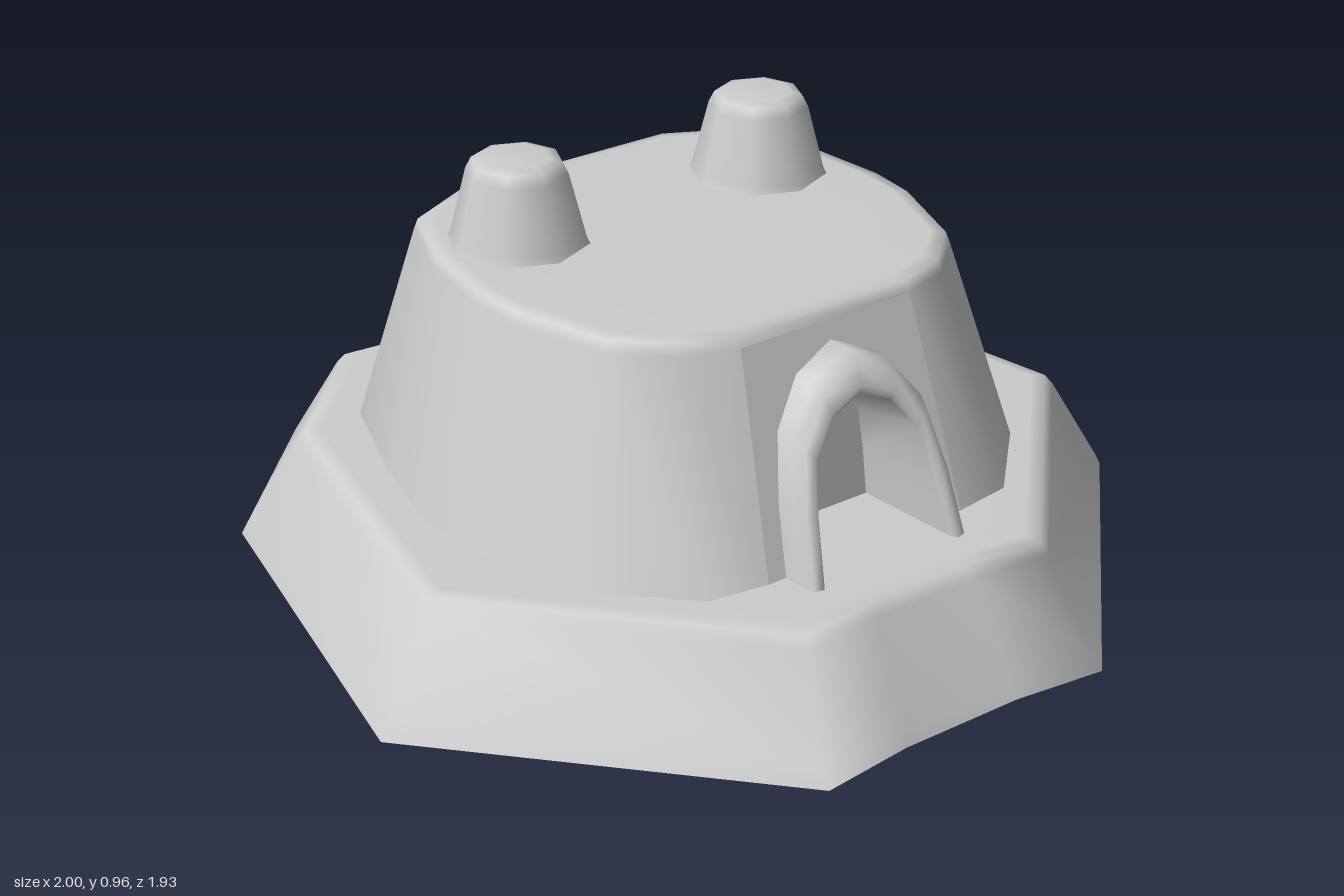
import * as THREE from 'three';

const stone = new THREE.MeshStandardMaterial({ color: 0xcccccc });
stone.name = 'pale stone';

const LEDGE = 0.27, ROOF = 0.77;

// Half outlines [x, z], from the back to the front on the +x side
const baseHalf = [[0.25, -0.95], [0.5, -0.97], [0.82, -0.63], [1, 0.29], [0.37, 0.965], [0.15, 0.94]];
const wallHalf = [[0.32, -0.655], [0.55, -0.53], [0.64, -0.25], [0.69, -0.02], [0.67, 0.17], [0.58, 0.42], [0.4, 0.6], [0.26, 0.62]];
const roofHalf = [[0.28, -0.5], [0.44, -0.42], [0.51, -0.23], [0.535, -0.02], [0.525, 0.1], [0.45, 0.32], [0.34, 0.42], [0.22, 0.46]];

// Half outlines [x, y] of the doorway, from the ground to the crown
const archOuter = [[0.215, 0.27], [0.2, 0.42], [0.17, 0.56], [0.1, 0.655], [0, 0.7]];
const archInner = [[0.17, 0.27], [0.155, 0.4], [0.135, 0.51], [0.075, 0.585], [0, 0.615]];

const mirrored = half => [...half].reverse().map(([x, z]) => [-x, z]).concat(half);
const mirroredArch = half => half.map(([x, y]) => [-x, y]).concat([...half].reverse().slice(1));
const mix = (a, b, t) => a.map(([x, z], i) => [x + (b[i][0] - x) * t, z + (b[i][1] - z) * t]);
const ring = (outline, y, s = 1) => outline.map(([x, z]) => [x * s, y, z * s]);

// Skin over rows of points; gap(row, segment) leaves a quad open
function loft(rows, closed, gap = () => false) {
  const n = rows[0].length, index = [];
  for (let r = 0; r < rows.length - 1; r++) {
    for (let i = 0; i < (closed ? n : n - 1); i++) {
      if (gap(r, i)) continue;
      const j = (i + 1) % n, a = r * n, c = a + n;
      index.push(a + i, c + i, c + j, a + i, c + j, a + j);
    }
  }
  const g = new THREE.BufferGeometry();
  g.setAttribute('position', new THREE.Float32BufferAttribute(rows.flat(2), 3));
  g.setIndex(index);
  g.computeVertexNormals();
  return g;
}

export function createModel() {
  const group = new THREE.Group();
  const add = (name, geometry, x = 0, y = 0, z = 0) => {
    const mesh = new THREE.Mesh(geometry, stone);
    mesh.name = name;
    mesh.position.set(x, y, z);
    group.add(mesh);
  };

  // Sloping octagonal base with a soft upper edge and a flat underside
  const base = mirrored(baseHalf);
  add('base', loft([
    ring(base, 0), ring(base, 0.03, 0.985), ring(base, 0.24, 0.865), ring(base, 0.265, 0.845),
    ring(base, LEDGE, 0.81), ring(base, LEDGE, 0.6), ring(base, LEDGE, 0),
  ], true));
  add('underside', loft([ring(base, 0, 0), ring(base, 0)], true));

  // Tapered body, open at the front for the doorway panel
  const wall = mirrored(wallHalf), roof = mirrored(roofHalf);
  const bevelT = 0.94, bevelY = LEDGE + (ROOF - LEDGE) * bevelT;
  const bevel = mix(wall, roof, bevelT);
  add('body', loft([
    ring(wall, LEDGE), ring(bevel, bevelY), ring(roof, ROOF - 0.005),
    ring(roof, ROOF, 0.94), ring(roof, ROOF, 0.6), ring(roof, ROOF, 0),
  ], true, (row, i) => row === 0 && i === wall.length - 1));

  // Front panel around the doorway, leaning with the wall
  const [bx, bz] = wall[wall.length - 1], [tx, tz] = bevel[bevel.length - 1];
  const wallZ = y => bz + (tz - bz) * (y - LEDGE) / (bevelY - LEDGE);
  const outer = mirroredArch(archOuter), inner = mirroredArch(archInner);
  const outline = [[-bx, LEDGE], ...outer, [bx, LEDGE], [tx, bevelY], [-tx, bevelY]];
  const panel = new THREE.ShapeGeometry(new THREE.Shape(outline.map(p => new THREE.Vector2(...p))));
  const pos = panel.attributes.position;
  for (let i = 0; i < pos.count; i++) pos.setZ(i, wallZ(pos.getY(i)));
  panel.computeVertexNormals();
  add('frontPanel', panel);

  // Raised rounded door frame running back into the recess
  const backZ = 0.44;
  const row = (points, out) => points.map(([x, y]) => [x, y, wallZ(y) + out]);
  const back = inner.map(([x, y]) => [x * 0.85, LEDGE + (y - LEDGE) * 0.9]);
  add('doorFrame', loft([
    row(outer, -0.01), row(outer, 0.05), row(mix(outer, inner, 0.3), 0.078),
    row(mix(outer, inner, 0.75), 0.085), row(inner, 0.07),
  ], false));
  add('doorRecess', loft([row(inner, 0.07), back.map(([x, y]) => [x, y, backZ])], false));
  add('doorBack', new THREE.ShapeGeometry(
    new THREE.Shape(back.map(p => new THREE.Vector2(...p)))), 0, 0, backZ);

  // Pair of tapered chimneys on the roof
  const profile = [[0.165, -0.01], [0.15, 0.02], [0.113, 0.165], [0.1, 0.19], [0.075, 0.197], [0, 0.2]]
    .map(p => new THREE.Vector2(...p));
  for (const side of [-1, 1]) {
    add(side < 0 ? 'rightChimney' : 'leftChimney',
      new THREE.LatheGeometry(profile, 8), side * 0.325, ROOF - 0.005, -0.19);
  }

  return group;
}
